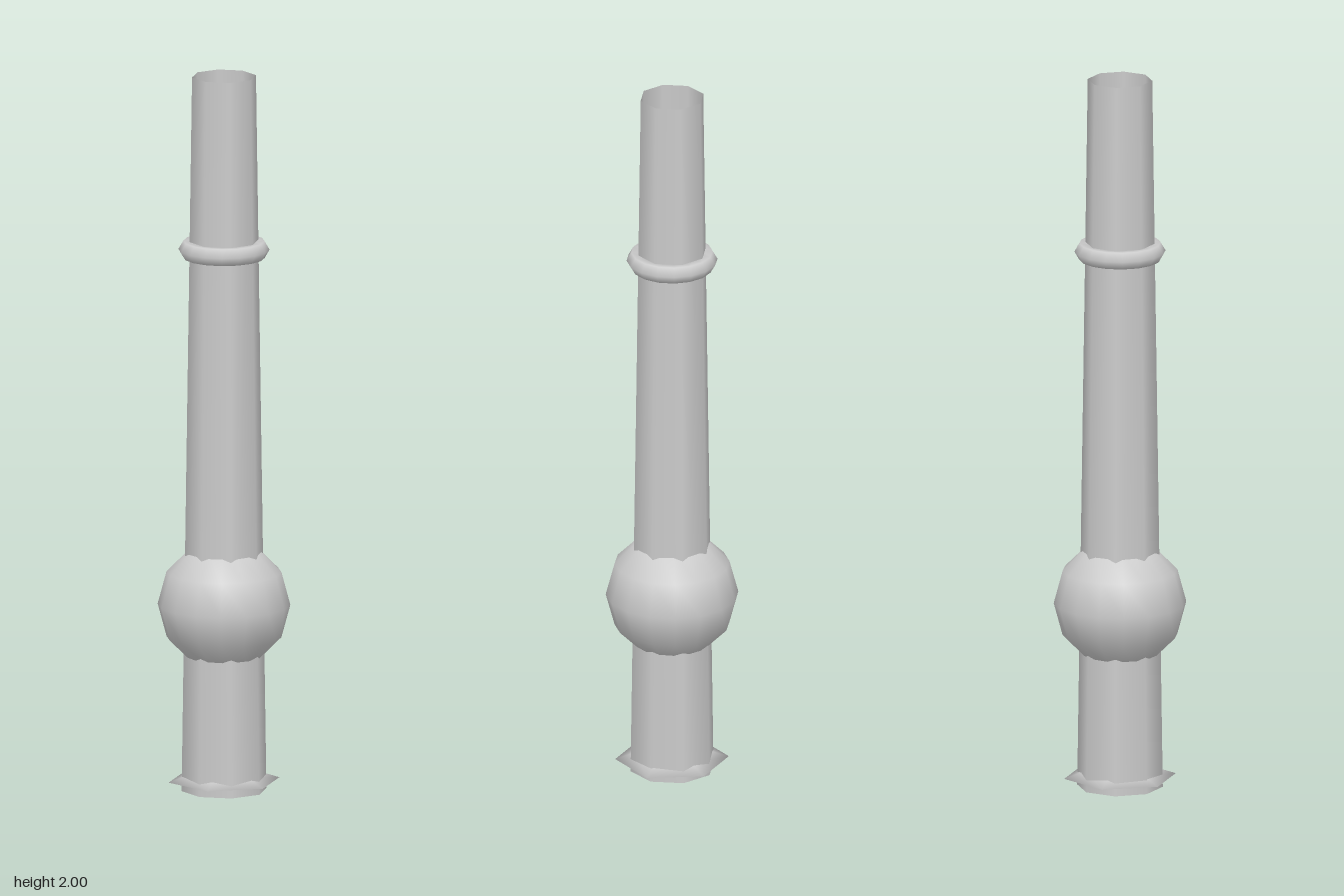
import * as THREE from 'three';

export function createModel() {
  const group = new THREE.Group();
  const grey = new THREE.MeshStandardMaterial({ color: 0xcccccc, side: THREE.DoubleSide });
  const deg = Math.PI / 180;

  function add(name, geometry, y, turn = 0) {
    const mesh = new THREE.Mesh(geometry, grey);
    mesh.name = name;
    mesh.position.y = y;
    mesh.rotation.y = turn * deg;
    group.add(mesh);
  }

  // Tapered eight-sided pipe, open at the top, closed at the foot
  add('pipe', new THREE.CylinderGeometry(0.089, 0.118, 2, 8, 1, true), 1, -10);
  add('pipeFoot', new THREE.CircleGeometry(0.118, 8).rotateX(Math.PI / 2), 0, -10);

  // Round bulge on the lower part
  add('bulge', new THREE.SphereGeometry(0.182, 16, 6), 0.52);

  // Ring on the upper part
  add('ring', new THREE.TorusGeometry(0.098, 0.027, 6, 16).rotateX(Math.PI / 2), 1.515);

  // Thin six-sided collar near the foot
  const collarProfile = [[0.1, 0.018], [0.156, 0.027], [0.1, 0.046]]
    .map(([r, y]) => new THREE.Vector2(r, y));
  add('footCollar', new THREE.LatheGeometry(collarProfile, 6), 0, 8);

  return group;
}
